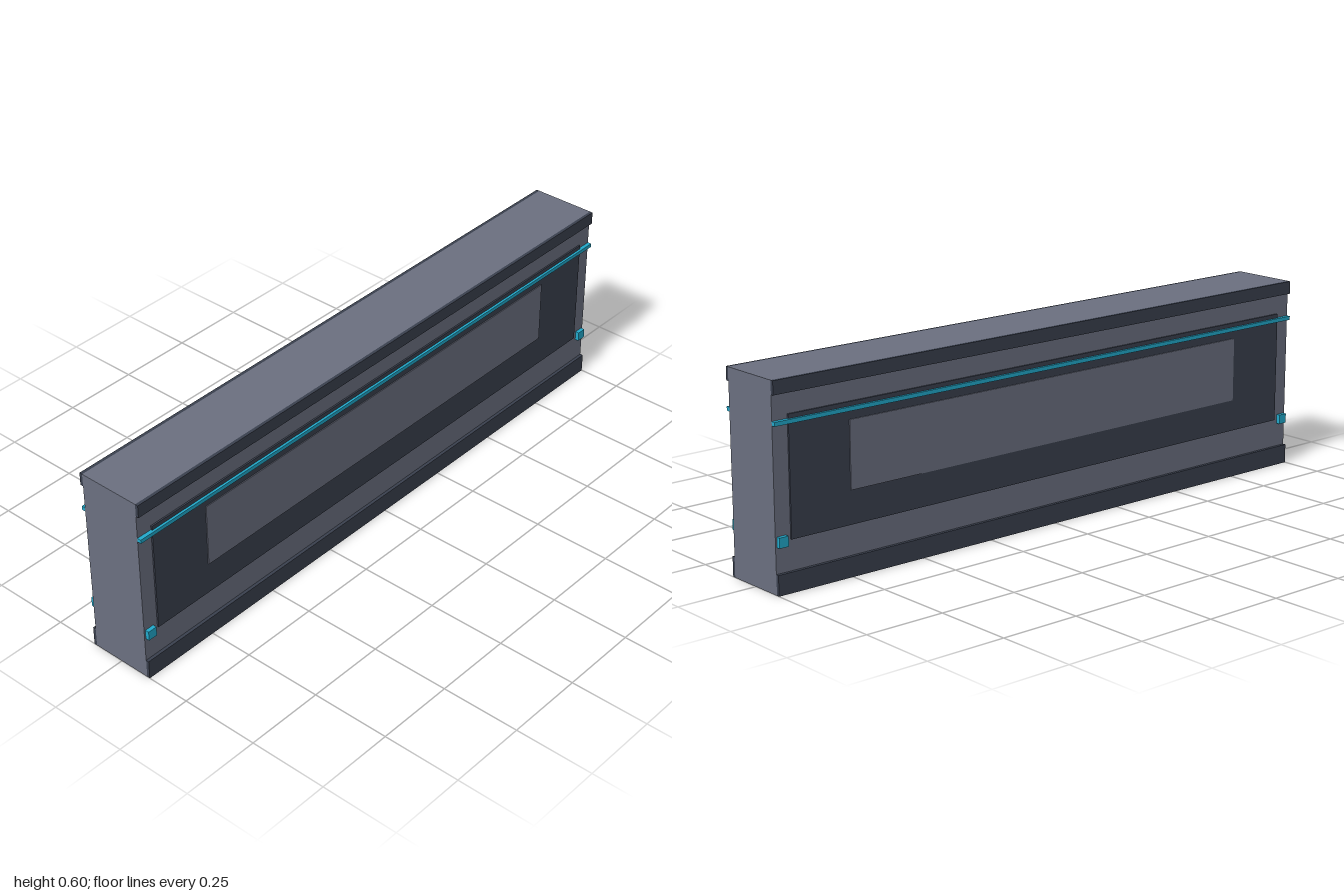
import * as THREE from 'three';

const BODY_HALF_DEPTH = 0.1;

export function createModel() {
  const model = new THREE.Group();
  model.name = 'wallSegment';

  const grey = new THREE.MeshStandardMaterial({ color: 0x6b7080 });
  const dark = new THREE.MeshStandardMaterial({ color: 0x3a404e });
  const cyan = new THREE.MeshStandardMaterial({ color: 0x22aacc });

  function box(parent, name, material, [w, h, d], [x, y, z]) {
    const mesh = new THREE.Mesh(new THREE.BoxGeometry(w, h, d), material);
    mesh.name = name;
    mesh.position.set(x, y, z);
    parent.add(mesh);
  }

  // Solid core of the wall
  box(model, 'body', grey, [2, 0.6, 2 * BODY_HALF_DEPTH], [0, 0.3, 0]);

  // Dressing of one face: each piece stands proud of the body
  function createFace(name) {
    const face = new THREE.Group();
    face.name = name;
    const raised = (part, material, width, bottom, top, proud, x = 0) =>
      box(face, part, material, [width, top - bottom, proud],
        [x, (bottom + top) / 2, BODY_HALF_DEPTH + proud / 2]);

    raised('baseRail', dark, 2, 0, 0.06, 0.01);
    raised('topRail', dark, 2, 0.56, 0.6, 0.01);
    raised('recessPanel', dark, 1.9, 0.15, 0.5, 0.005);
    raised('centrePlate', grey, 1.5, 0.25, 0.45, 0.008);
    raised('lightStrip', cyan, 2, 0.475, 0.487, 0.0125);
    for (const side of [-1, 1]) {
      raised(side > 0 ? 'leftLamp' : 'rightLamp', cyan, 0.03, 0.135, 0.165, 0.0125, side * 0.98);
    }
    return face;
  }

  const front = createFace('frontFace');
  const back = createFace('backFace');
  back.rotation.y = Math.PI;
  model.add(front, back);

  return model;
}
